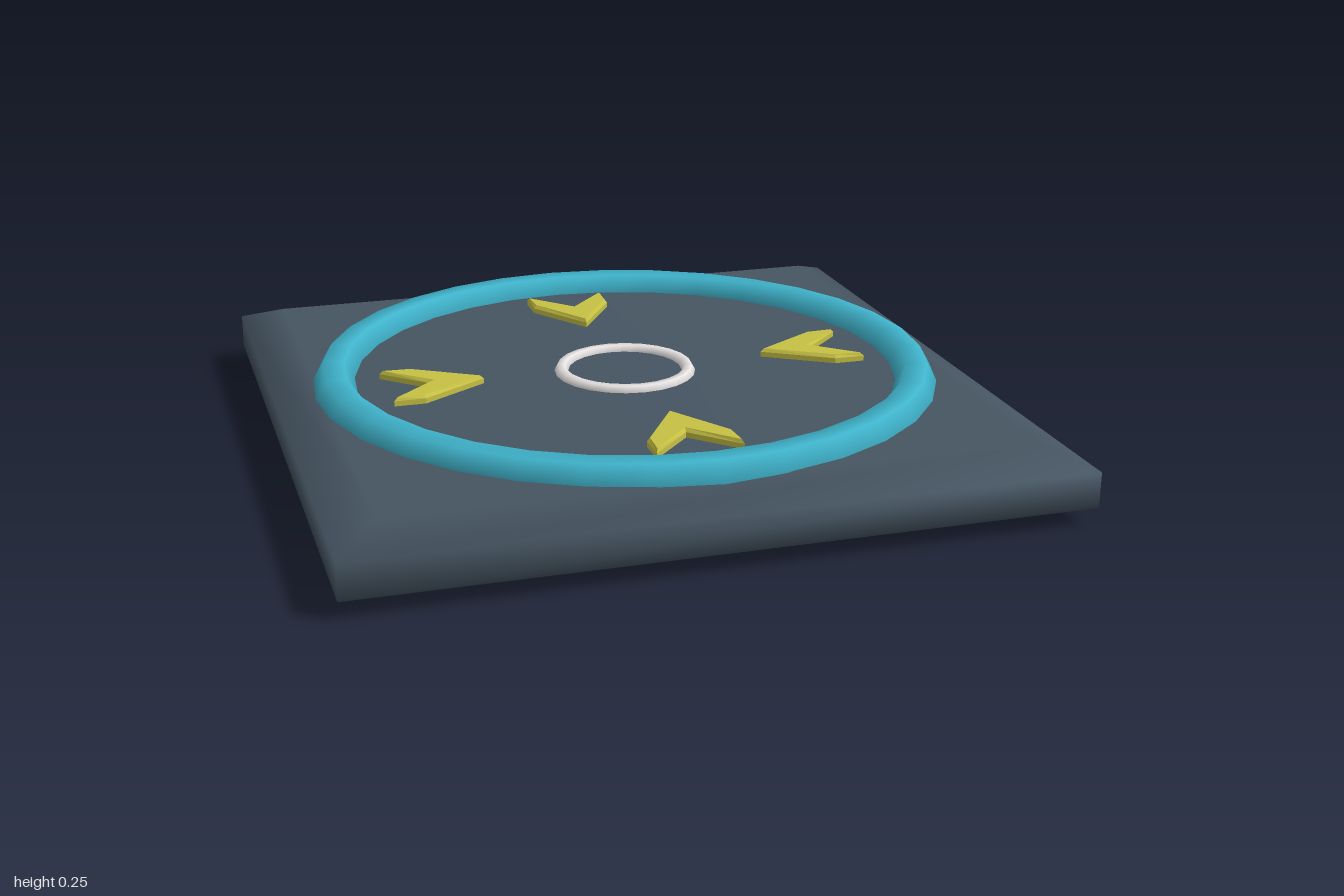
import * as THREE from 'three';

const material = (name, color) => {
  const m = new THREE.MeshStandardMaterial({ color });
  m.name = name;
  return m;
};

// Square slab from stacked [half width, height] loops, smooth across its bevels
function slabGeometry(profile) {
  const corners = [[1, 1], [1, -1], [-1, -1], [-1, 1]];
  const positions = [];
  const indices = [];
  for (const [half, y] of profile) {
    for (const [x, z] of corners) positions.push(x * half, y, z * half);
  }
  for (let r = 0; r < profile.length - 1; r++) {
    for (let i = 0; i < 4; i++) {
      const a = r * 4 + i;
      const b = r * 4 + (i + 1) % 4;
      indices.push(a, b, b + 4, a, b + 4, a + 4);
    }
  }
  const t = (profile.length - 1) * 4;
  indices.push(t, t + 1, t + 2, t, t + 2, t + 3); // top
  indices.push(0, 2, 1, 0, 3, 2); // underside
  const geometry = new THREE.BufferGeometry();
  geometry.setAttribute('position', new THREE.Float32BufferAttribute(positions, 3));
  geometry.setIndex(indices);
  geometry.computeVertexNormals();
  return geometry;
}

export function createModel() {
  const group = new THREE.Group();
  group.name = 'floorPad';
  const slate = material('slate', 0x465562);
  const teal = material('teal', 0x3fb3cb);
  const yellow = material('yellow', 0xc6c044);
  const white = material('white', 0xe8e4e4);
  const topY = 0.2;

  const add = (name, geometry, mat, y = 0) => {
    const mesh = new THREE.Mesh(geometry, mat);
    mesh.name = name;
    mesh.position.y = y;
    group.add(mesh);
    return mesh;
  };

  // Bevelled base
  add('base', slabGeometry([[0.88, 0], [1, 0.05], [1, 0.15], [0.88, topY]]), slate);

  // Rings half sunk into the top
  const ring = (radius, tube, sides, segments) =>
    new THREE.TorusGeometry(radius, tube, sides, segments).rotateX(-Math.PI / 2);
  add('outerRing', ring(0.84, 0.06, 6, 32), teal, topY - 0.002);
  add('centreRing', ring(0.185, 0.02, 6, 24), white, topY);

  // Four chevrons pointing at the centre
  const outline = [[-0.12, 0.7], [-0.12, 0.61], [0, 0.42], [0.12, 0.61], [0.12, 0.7], [0, 0.575]];
  const chevron = new THREE.ExtrudeGeometry(
    new THREE.Shape(outline.map(([x, y]) => new THREE.Vector2(x, y))),
    {
      depth: 0.015, bevelEnabled: true, bevelThickness: 0.01,
      bevelSize: 0.008, bevelOffset: -0.008, bevelSegments: 1,
    },
  ).rotateX(-Math.PI / 2);
  ['back', 'right', 'front', 'left'].forEach((side, i) => {
    add(side + 'Chevron', chevron, yellow, topY).rotation.y = i * Math.PI / 2;
  });

  return group;
}
